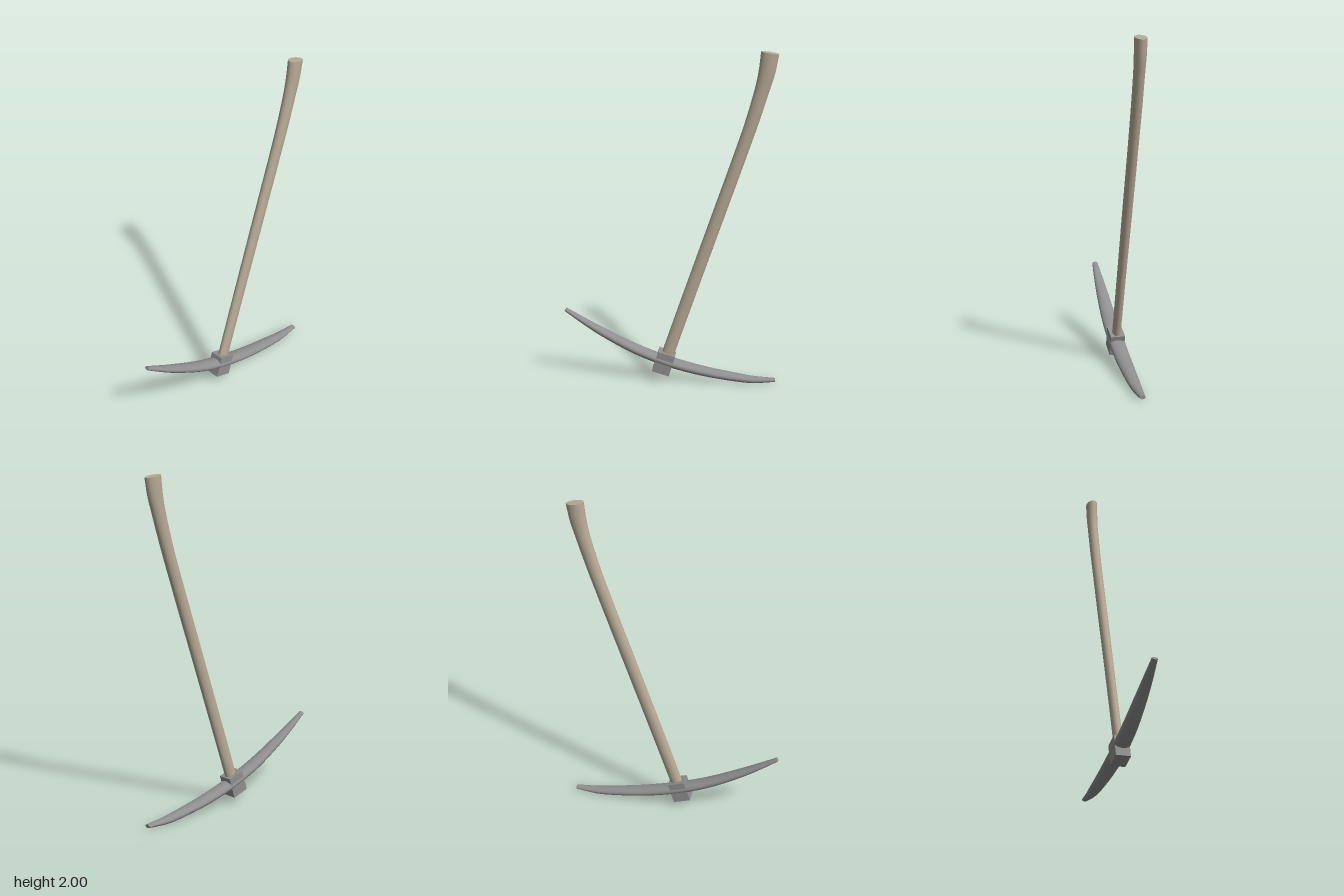
import * as THREE from 'three';

// Sweep an ellipse along a curve in the yz plane.
// stations: [z, y, half width across x, half thickness in the plane]
function sweep(stations, segments, sides) {
  const path = new THREE.CatmullRomCurve3(stations.map(([z, y]) => new THREE.Vector3(0, y, z)));
  const sizes = new THREE.CatmullRomCurve3(stations.map(([, , w, h], i) => new THREE.Vector3(w, h, i)), false, 'centripetal');
  const pos = [], index = [];
  const ring = (t) => {
    const c = path.getPoint(t), d = path.getTangent(t), s = sizes.getPoint(t);
    for (let j = 0; j < sides; j++) {
      const a = (j / sides) * Math.PI * 2;
      const n = Math.sin(a) * s.y;
      pos.push(Math.cos(a) * s.x, c.y + d.z * n, c.z - d.y * n);
    }
  };
  for (let i = 0; i <= segments; i++) ring(i / segments);
  for (let i = 0; i < segments; i++) {
    for (let j = 0; j < sides; j++) {
      const a = i * sides + j, b = i * sides + (j + 1) % sides;
      index.push(a, b, a + sides, b, b + sides, a + sides);
    }
  }
  // End caps use their own vertices so the rims stay sharp
  for (const t of [0, 1]) {
    const base = pos.length / 3;
    ring(t);
    for (let j = 1; j < sides - 1; j++) {
      if (t) index.push(base, base + j, base + j + 1);
      else index.push(base, base + j + 1, base + j);
    }
  }
  const geo = new THREE.BufferGeometry();
  geo.setAttribute('position', new THREE.Float32BufferAttribute(pos, 3));
  geo.setIndex(index);
  geo.computeVertexNormals();
  return geo;
}

export function createModel() {
  const group = new THREE.Group();
  const wood = new THREE.MeshStandardMaterial({ color: 0xb8aa96 });
  const steel = new THREE.MeshStandardMaterial({ color: 0x8f8f8f });
  const add = (name, geometry, material) => {
    const mesh = new THREE.Mesh(geometry, material);
    mesh.name = name;
    group.add(mesh);
    return mesh;
  };

  // Slightly curved oval handle, flared at the grip end
  add('handle', sweep([
    [0.035, 0.1, 0.025, 0.037],
    [0.013, 0.17, 0.025, 0.037],
    [-0.13, 0.6, 0.026, 0.037],
    [-0.265, 1.0, 0.028, 0.037],
    [-0.4, 1.4, 0.029, 0.037],
    [-0.465, 1.6, 0.03, 0.038],
    [-0.522, 1.8, 0.031, 0.042],
    [-0.543, 1.89, 0.033, 0.047],
    [-0.558, 1.993, 0.034, 0.051],
  ], 48, 24), wood);

  // Curved double-ended head, tapering to blunt tips
  add('head', sweep([
    [-0.634, 0.024, 0.017, 0.011],
    [-0.5, 0.022, 0.03, 0.02],
    [-0.4, 0.033, 0.037, 0.024],
    [-0.2, 0.066, 0.045, 0.027],
    [0, 0.117, 0.048, 0.029],
    [0.2, 0.19, 0.046, 0.028],
    [0.4, 0.292, 0.037, 0.024],
    [0.52, 0.363, 0.028, 0.018],
    [0.63, 0.434, 0.017, 0.011],
  ], 48, 24), steel);

  // Socket block in line with the handle
  const socket = add('socketBlock', new THREE.BoxGeometry(0.086, 0.131, 0.106), steel);
  socket.position.set(0, 0.117, 0.037);
  socket.rotation.x = -0.3;

  return group;
}
